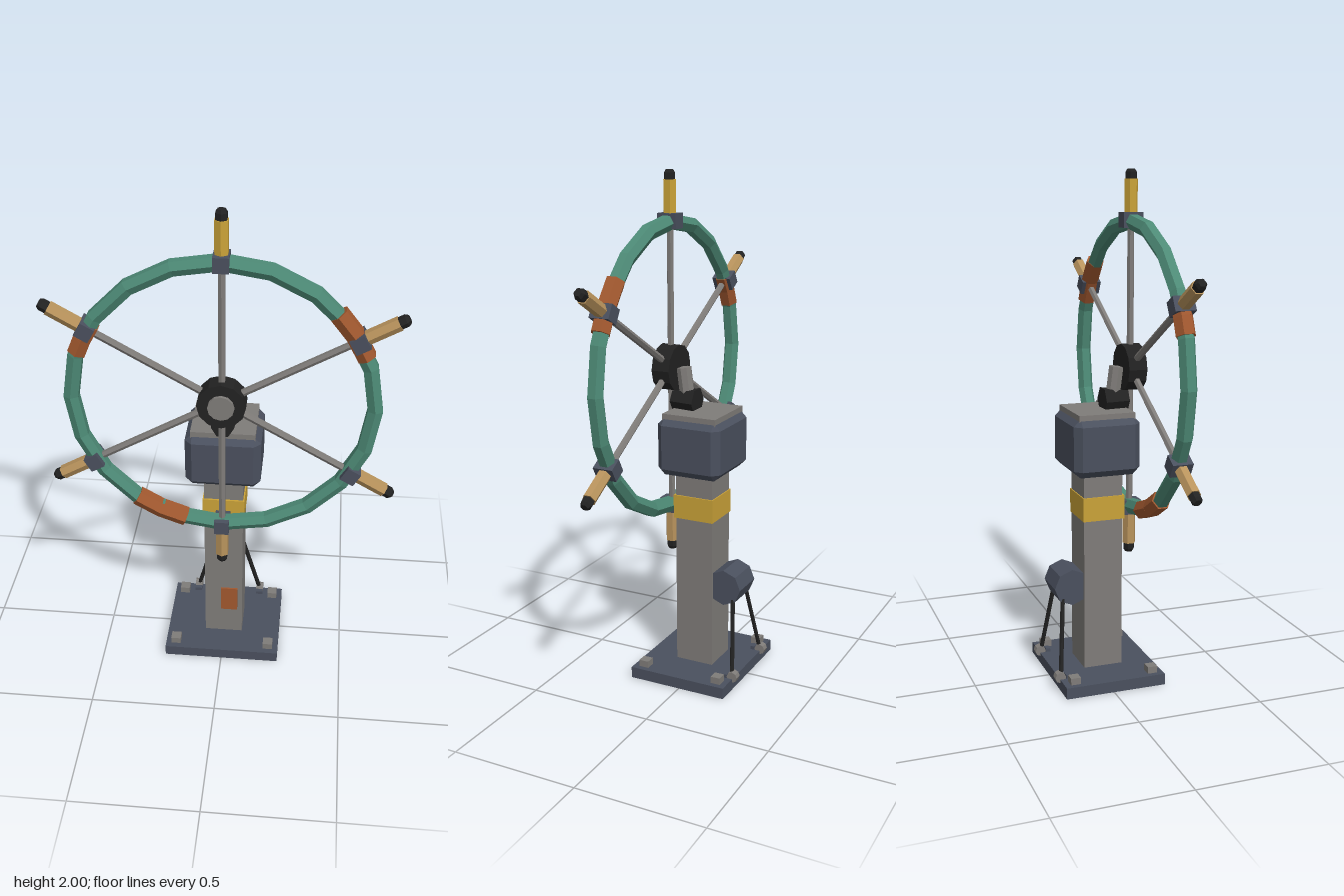
import * as THREE from 'three';
import { ConvexGeometry } from 'three/addons/geometries/ConvexGeometry.js';

const paint = (name, color) => {
  const m = new THREE.MeshStandardMaterial({ color, flatShading: true });
  m.name = name;
  return m;
};

export function createModel() {
  const green = paint('green paint', 0x4d8a76);
  const slate = paint('slate metal', 0x4a505e);
  const grey = paint('grey steel', 0x7f7c79);
  const yellow = paint('yellow paint', 0xcaa238);
  const wood = paint('tan wood', 0xb8935c);
  const black = paint('black rubber', 0x222222);
  const rust = paint('rust', 0xa1582f);

  const model = new THREE.Group();
  model.name = 'handwheelPedestal';

  const add = (parent, name, geometry, material, x = 0, y = 0, z = 0) => {
    const mesh = new THREE.Mesh(geometry, material);
    mesh.name = name;
    mesh.position.set(x, y, z);
    parent.add(mesh);
    return mesh;
  };
  const box = (parent, name, material, w, h, d, x, y, z) =>
    add(parent, name, new THREE.BoxGeometry(w, h, d), material, x, y, z);
  const cyl = (r1, r2, h, n) => new THREE.CylinderGeometry(r1, r2, h, n);

  // Box with every edge cut at 45 degrees
  const chamferedBox = (w, h, d, c) => {
    const half = [w / 2, h / 2, d / 2], points = [];
    for (const sx of [-1, 1]) for (const sy of [-1, 1]) for (const sz of [-1, 1])
      for (let k = 0; k < 3; k++) {
        const p = half.map((v, i) => (i === k ? v : v - c));
        points.push(new THREE.Vector3(sx * p[0], sy * p[1], sz * p[2]));
      }
    return new ConvexGeometry(points);
  };

  // Base, post and head
  box(model, 'basePlate', slate, 0.474, 0.045, 0.408, 0, 0.0225, 0.01);
  box(model, 'post', grey, 0.156, 0.84, 0.158, 0, 0.45, 0.01);
  box(model, 'postBand', yellow, 0.167, 0.095, 0.17, 0, 0.703, 0.012);
  box(model, 'rustPatch', rust, 0.068, 0.115, 0.008, 0.024, 0.228, 0.092);
  add(model, 'head', chamferedBox(0.294, 0.23, 0.268, 0.028), slate, 0, 0.958, 0.01);
  box(model, 'headLid', grey, 0.25, 0.03, 0.226, 0, 1.073, 0.01);
  for (const x of [-0.195, 0.195]) for (const z of [-0.15, 0.17])
    box(model, 'baseBolt', grey, 0.04, 0.028, 0.04, x, 0.058, z);

  // Tank on the back of the post, with its two stays
  add(model, 'tank', cyl(0.073, 0.073, 0.14, 8), slate, 0, 0.388, -0.115).rotation.z = Math.PI / 2;
  const up = new THREE.Vector3(0, 1, 0);
  for (const s of [-1, 1]) {
    const a = new THREE.Vector3(s * 0.058, 0.36, -0.152);
    const b = new THREE.Vector3(s * 0.137, 0.05, -0.187);
    const dir = a.clone().sub(b);
    const mid = a.clone().add(b).multiplyScalar(0.5);
    const stay = add(model, 'stay', cyl(0.009, 0.009, dir.length(), 6), black, mid.x, mid.y, mid.z);
    stay.quaternion.setFromUnitVectors(up, dir.normalize());
    add(model, 'stayFoot', cyl(0.022, 0.022, 0.03, 8), grey, s * 0.137, 0.052, -0.192).rotation.z = Math.PI / 2;
    box(model, 'stayLug', slate, 0.03, 0.016, 0.018, s * 0.137, 0.051, -0.16);
  }

  // Bearing and leaning shaft between head and wheel
  add(model, 'bearing', cyl(0.043, 0.055, 0.1, 6).rotateY(Math.PI / 2), black, 0, 1.118, 0.083).rotation.x = Math.PI / 2;
  add(model, 'shaft', cyl(0.03, 0.03, 0.13, 8), grey, 0, 1.185, 0.083).rotation.x = 0.13;

  // Wheel, built around its own centre in the xy plane
  const wheel = new THREE.Group();
  wheel.name = 'wheel';
  wheel.position.set(0, 1.245, 0.148);
  model.add(wheel);
  const R = 0.562;
  const profile = [];
  for (let k = 0; k <= 6; k++) {
    const a = (-30 + 60 * k) * Math.PI / 180;
    profile.push(new THREE.Vector2(R + 0.032 * Math.cos(a), 0.032 * Math.sin(a)));
  }
  add(wheel, 'rim', new THREE.LatheGeometry(profile, 20), green).rotation.x = Math.PI / 2;
  add(wheel, 'hub', cyl(0.092, 0.092, 0.074, 12), black).rotation.x = Math.PI / 2;
  add(wheel, 'hubCap', cyl(0.05, 0.05, 0.05, 12), grey, 0, 0, 0.025).rotation.x = Math.PI / 2;

  // Six arms: spoke, rim clamp, grip and tip; the top grip is yellow
  for (let i = 0; i < 6; i++) {
    const arm = new THREE.Group();
    arm.name = 'arm';
    arm.rotation.z = i * Math.PI / 3;
    add(arm, 'spoke', cyl(0.014, 0.014, 0.52, 6), grey, 0, 0.31, 0);
    box(arm, 'rimClamp', slate, 0.058, 0.058, 0.08, 0, 0.565, 0);
    add(arm, 'grip', cyl(0.027, 0.027, 0.13, 6), i === 0 ? yellow : wood, 0, 0.653, 0);
    add(arm, 'gripTip', cyl(0.023, 0.023, 0.026, 6), black, 0, 0.73, 0);
    add(arm, 'gripTipEnd', cyl(0.015, 0.023, 0.012, 6), black, 0, 0.749, 0);
    wheel.add(arm);
  }

  // Rusted sleeves on the rim: centre angle and half span in degrees
  for (const [centre, half] of [[33, 10], [154, 6.5], [244.5, 10.5]])
    for (const s of [-1, 1]) {
      const a = (centre + s * half / 2) * Math.PI / 180;
      const length = R * half * Math.PI / 180 + 0.006;
      const sleeve = add(wheel, 'rustSleeve', cyl(0.038, 0.038, length, 6), rust,
        (R - 0.003) * Math.cos(a), (R - 0.003) * Math.sin(a), 0);
      sleeve.rotation.z = a;
    }

  return model;
}
